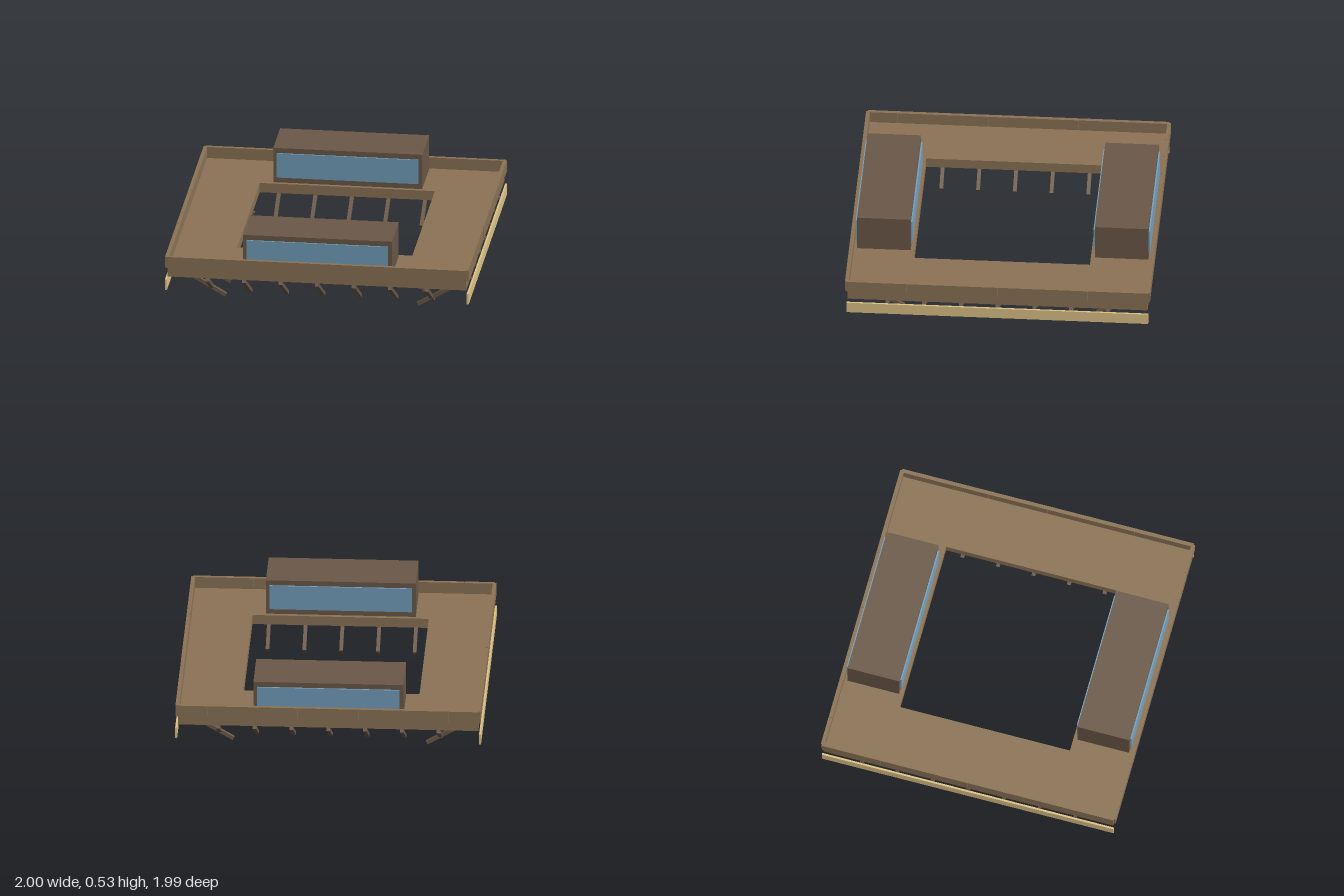
import * as THREE from 'three';

const mat = (color) => new THREE.MeshStandardMaterial({ color });
const DECK_BOTTOM = 0.225, DECK_TOP = 0.29, WALL_TOP = 0.367;

export function createModel() {
  const model = new THREE.Group();
  const wood = mat(0x8b7355), darkWood = mat(0x6b5848);
  const glass = mat(0x74a0bd), paleWood = mat(0xdec387);

  const box = (name, parent, material, size, pos) => {
    const mesh = new THREE.Mesh(new THREE.BoxGeometry(...size), material);
    mesh.name = name;
    mesh.position.set(...pos);
    parent.add(mesh);
    return mesh;
  };

  // Square deck with a central opening
  const square = (path, r) => path.moveTo(-r, -r).lineTo(r, -r).lineTo(r, r).lineTo(-r, r).closePath();
  const outline = square(new THREE.Shape(), 0.98);
  outline.holes.push(square(new THREE.Path(), 0.575));
  const deckGeometry = new THREE.ExtrudeGeometry(outline, { depth: DECK_TOP - DECK_BOTTOM, bevelEnabled: false });
  deckGeometry.rotateX(-Math.PI / 2);
  const deck = new THREE.Mesh(deckGeometry, wood);
  deck.name = 'deck';
  deck.position.y = DECK_BOTTOM;
  model.add(deck);

  // Each side carries a panelled parapet and a row of slanted struts
  for (let s = 0; s < 4; s++) {
    const side = new THREE.Group();
    side.name = 'deckSide';
    side.rotation.y = s * Math.PI / 2;
    model.add(side);

    const panels = 10, step = 1.97 / panels;
    for (let i = 0; i < panels; i++) {
      box('parapetPanel', side, wood, [step - 0.001, WALL_TOP - DECK_TOP, 0.025],
        [(i - (panels - 1) / 2) * step, (DECK_TOP + WALL_TOP) / 2, 0.983]);
    }
    for (let i = -3; i <= 3; i++) {
      const strut = box('strut', side, darkWood, [0.024, 0.024, 0.405], [i * 0.24, 0.115, 0.805]);
      strut.rotation.x = -Math.PI / 6;
    }
  }

  // Long pale rails hanging below the left and right edges
  for (const x of [-1, 1]) {
    box('sideRail', model, paleWood, [0.013, 0.074, 1.97], [x * 0.991, 0.167, 0]);
  }

  // Cabins at front and back, with windows on both long faces
  for (const z of [-1, 1]) {
    const cabin = new THREE.Group();
    cabin.name = 'cabin';
    cabin.position.z = z * 0.776;
    model.add(cabin);
    box('cabinBody', cabin, darkWood, [0.978, 0.24, 0.35], [0, 0.41, 0]);
    for (const f of [-1, 1]) {
      box('window', cabin, glass, [0.93, 0.168, 0.02], [0, 0.411, f * 0.175]);
    }
  }
  return model;
}
